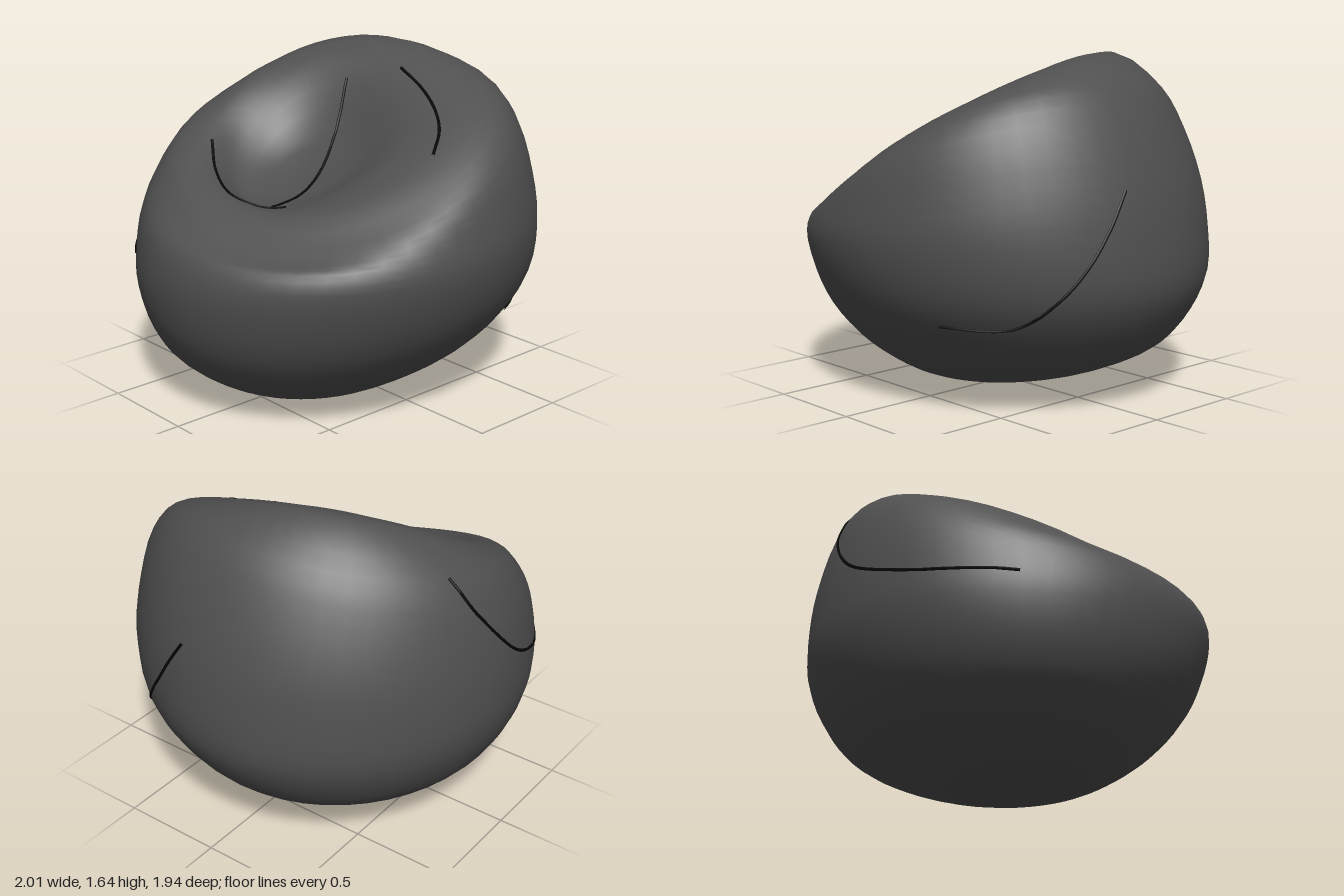
import * as THREE from 'three';

// Tilted ellipses from the floor up over the rim and down into the seat hollow:
// centre x, centre z, radius x, radius z, height, tilt along x, tilt along z, twist
const RINGS = [
  [-0.15, -0.06, 0, 0, 0, 0, 0, 0],
  [-0.15, -0.06, 0.22, 0.2, 0.005, 0, 0, 0],
  [-0.14, -0.04, 0.42, 0.38, 0.045, 0, 0, 0],
  [-0.09, -0.05, 0.64, 0.56, 0.13, 0, 0, 0],
  [-0.045, -0.06, 0.825, 0.735, 0.25, 0, 0, 0],
  [-0.02, -0.04, 0.94, 0.86, 0.41, 0, 0, 0],
  [0, -0.02, 1, 0.94, 0.59, 0, 0, 0],
  [0, 0, 0.995, 0.97, 0.78, 0.05, 0.02, 0],
  [0, 0, 0.95, 0.95, 0.96, 0.11, -0.01, 0.03],
  [-0.01, 0, 0.85, 0.9, 1.13, 0.22, -0.04, 0.06],
  [-0.015, 0, 0.735, 0.81, 1.25, 0.27, -0.08, 0.055],
  [-0.06, 0.01, 0.56, 0.62, 1.32, 0.3, -0.1, 0],
  [-0.11, -0.01, 0.38, 0.43, 1.24, 0.27, -0.05, -0.03],
  [-0.13, -0.05, 0.21, 0.25, 1.1, 0.12, -0.01, 0],
  [-0.15, -0.06, 0, 0, 1.04, 0, 0, 0],
];

function ringPoint([cx, cz, rx, rz, y, a, b, d], t) {
  const c = Math.cos(t), s = Math.sin(t);
  return new THREE.Vector3(cx + rx * c, y + a * c + b * s + d * Math.sin(2 * t), cz + rz * s);
}

// Skin the rings with a smooth curve per direction
function bagGeometry(sides = 48, perSpan = 3) {
  const rows = (RINGS.length - 1) * perSpan;
  const pos = [], index = [];
  const curves = Array.from({ length: sides }, (_, j) =>
    new THREE.CatmullRomCurve3(RINGS.map((r) => ringPoint(r, (j / sides) * Math.PI * 2))));
  for (let i = 0; i <= rows; i++) {
    for (const curve of curves) {
      const p = curve.getPoint(i / rows);
      pos.push(p.x, Math.max(p.y, 0), p.z);
    }
  }
  for (let i = 0; i < rows; i++) {
    for (let j = 0; j < sides; j++) {
      const a = i * sides + j, b = i * sides + (j + 1) % sides;
      const c = a + sides, d = b + sides;
      if (i < rows - 1) index.push(a, c, d);
      if (i > 0) index.push(a, d, b);
    }
  }
  const geo = new THREE.BufferGeometry();
  geo.setAttribute('position', new THREE.Float32BufferAttribute(pos, 3));
  geo.setIndex(index);
  geo.computeVertexNormals();
  // one shared normal at each pole
  const n = geo.attributes.normal;
  for (let j = 0; j < sides; j++) {
    n.setXYZ(j, 0, -1, 0);
    n.setXYZ(rows * sides + j, -0.3, 0.95, 0);
  }
  return geo;
}

// Seams on top are [x, z]; seams on the sides are [x, y, z]
const SEAMS = {
  seatEdgeSeam: [[-0.42, -0.45], [-0.53, -0.28], [-0.6, -0.07], [-0.55, 0.05], [-0.46, 0.16]],
  seatFoldSeam: [[0.2, -0.15], [0.05, -0.08], [-0.08, -0.01], [-0.25, 0.05], [-0.48, 0.07]],
  rimSeam: [[0.33, 0.1], [0.29, 0.28], [0.22, 0.44], [0.13, 0.56], [0.01, 0.64]],
  backSeam: [[0.22, 1.38, -0.8], [0.13, 1.19, -0.87], [-0.12, 0.91, -0.94], [-0.47, 0.76, -0.86], [-0.86, 0.69, -0.5]],
  sideSeam: [[0.93, 1.06, 0.16], [0.94, 0.8, 0.33], [0.87, 0.6, 0.48], [0.7, 0.46, 0.6], [0.4, 0.45, 0.8]],
};

// Drop a seam point onto the bag: from above, or inwards from the side
function snap(ray, bag, p, top) {
  if (top) ray.set(new THREE.Vector3(p.x, 3, p.z), new THREE.Vector3(0, -1, 0));
  else ray.set(new THREE.Vector3(p.x * 3, p.y, p.z * 3), new THREE.Vector3(-p.x, 0, -p.z).normalize());
  return ray.intersectObject(bag)[0].point;
}

export function createModel() {
  const group = new THREE.Group();
  group.name = 'beanBag';

  const bag = new THREE.Mesh(bagGeometry(), new THREE.MeshStandardMaterial({ color: 0x505050 }));
  bag.name = 'bag';
  group.add(bag);

  // Thin dark seams following the surface
  const seamMaterial = new THREE.MeshStandardMaterial({ color: 0x050505 });
  const ray = new THREE.Raycaster();
  for (const [name, pts] of Object.entries(SEAMS)) {
    const top = pts[0].length === 2;
    const guide = new THREE.CatmullRomCurve3(pts.map((p) =>
      top ? new THREE.Vector3(p[0], 0, p[1]) : new THREE.Vector3(...p)));
    const onBag = guide.getPoints(24).map((p) => snap(ray, bag, p, top));
    const seam = new THREE.Mesh(
      new THREE.TubeGeometry(new THREE.CatmullRomCurve3(onBag), 48, 0.008, 6), seamMaterial);
    seam.name = name;
    group.add(seam);
  }
  return group;
}
